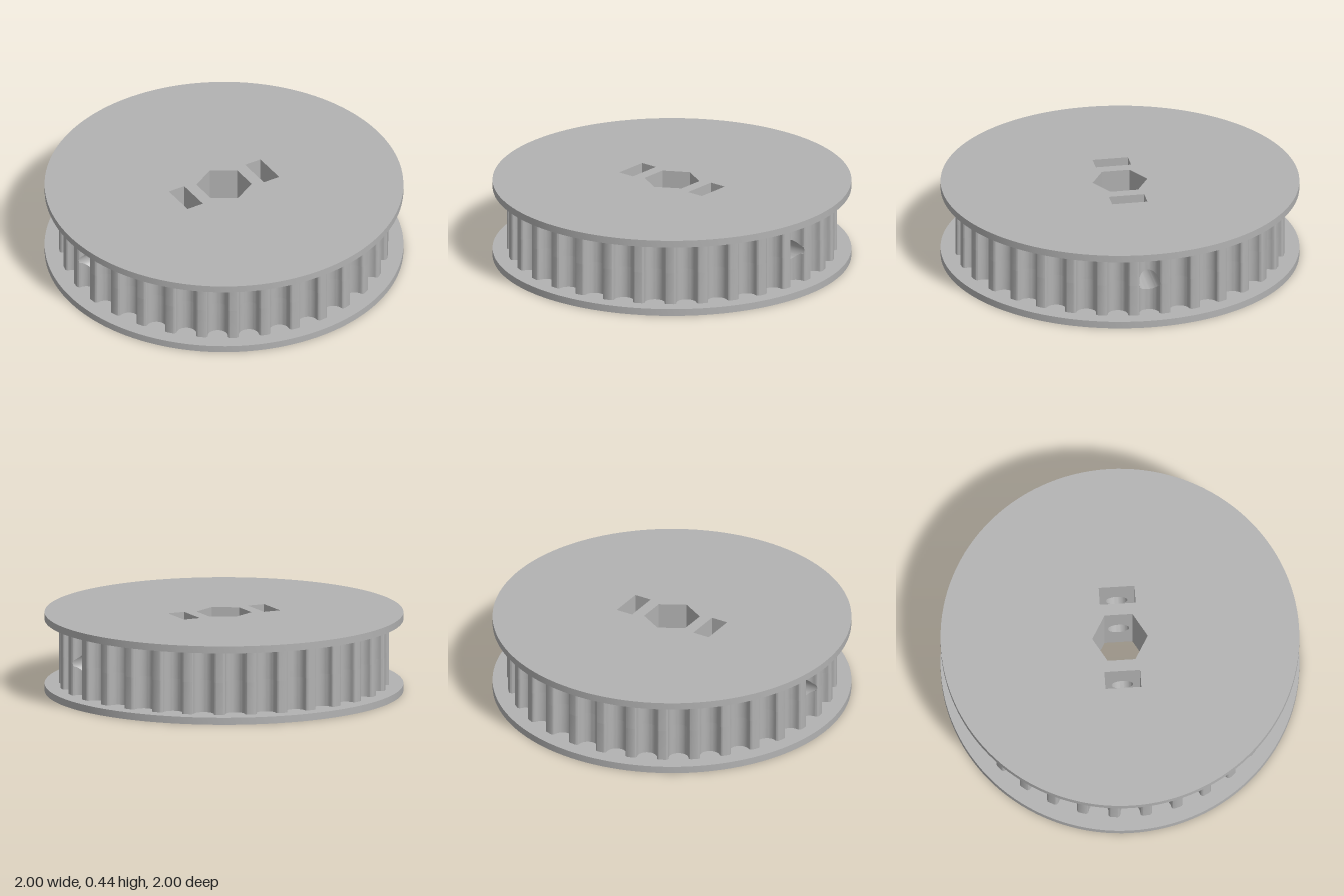
import * as THREE from 'three';
import { mergeGeometries, toCreasedNormals } from 'three/addons/utils/BufferGeometryUtils.js';

const HEIGHT = 0.445, FLANGE = 0.04, TOP = HEIGHT - FLANGE, MID = HEIGHT / 2;
const TEETH = 32, OUTER = 0.92;
const GROOVE_R = 0.056, GROOVE_X = 0.899, FILLET_R = 0.016, FILLET_X = 0.901, FILLET_T = 0.072;
const HOLE_R = 0.06, HEX_R = 0.155, HEX_FLAT = HEX_R * Math.cos(Math.PI / 6);
const SLOT = { x0: 0.2, x1: 0.3, z: 0.1, shoulder: 0.167, bottom: 0.11 };

const V = (x, y, z) => new THREE.Vector3(x, y, z);

// Ribbon of quads between two matching polylines
function ribbon(a, b, crease = 0.6) {
  const pos = [];
  const tri = (...ps) => ps.forEach((p) => pos.push(p.x, p.y, p.z));
  for (let i = 0; i < a.length - 1; i++) {
    tri(a[i], a[i + 1], b[i + 1]);
    tri(a[i], b[i + 1], b[i]);
  }
  const g = new THREE.BufferGeometry();
  g.setAttribute('position', new THREE.Float32BufferAttribute(pos, 3));
  return toCreasedNormals(g, crease);
}

// Rounded groove section in local (radial, tangential) coordinates
function grooveProfile() {
  const half = [];
  for (let i = 0; i <= 10; i++) {
    const t = (i / 10) * Math.PI / 2;
    half.push([GROOVE_X - GROOVE_R * Math.cos(t), GROOVE_R * Math.sin(t)]);
  }
  for (let i = 0; i <= 6; i++) {
    const t = (i / 6) * Math.PI / 2;
    half.push([FILLET_X + FILLET_R * Math.sin(t), FILLET_T - FILLET_R * Math.cos(t)]);
  }
  return [...half.slice(1).reverse().map(([r, t]) => [r, -t]), ...half];
}

// Radial position of the groove surface at sideways offset z
function grooveDepth(z) {
  const t = Math.abs(z);
  if (t < GROOVE_R) return GROOVE_X - Math.sqrt(GROOVE_R ** 2 - t * t);
  return FILLET_X + Math.sqrt(Math.max(0, FILLET_R ** 2 - (FILLET_T - t) ** 2));
}

// Toothed rim; the two grooves on the x axis are split around the screw hole
function toothedRim() {
  const profile = grooveProfile(), points = [];
  for (let k = 0; k <= TEETH; k++) {
    const a = (k / TEETH) * Math.PI * 2, c = Math.cos(a), s = Math.sin(a);
    const drilled = k % (TEETH / 2) === 0;
    for (const [r, t] of profile) {
      const gap = drilled ? Math.sqrt(Math.max(0, HOLE_R ** 2 - t * t)) : 0;
      points.push({ x: r * c - t * s, z: -(r * s + t * c), gap });
    }
  }
  const row = (y) => points.map((p) => V(p.x, y(p), p.z));
  return mergeGeometries([
    ribbon(row(() => FLANGE), row((p) => MID - p.gap)),
    ribbon(row((p) => MID + p.gap), row(() => TOP)),
  ]);
}

function hexPoints() {
  return Array.from({ length: 6 }, (_, i) => {
    const a = Math.PI / 2 + i * Math.PI / 3;
    return new THREE.Vector2(HEX_R * Math.cos(a), HEX_R * Math.sin(a));
  });
}

// Round flange plate with the hex bore and optional nut slots
function flange(withSlots) {
  const shape = new THREE.Shape().absarc(0, 0, 1, 0, Math.PI * 2);
  shape.holes.push(new THREE.Path(hexPoints()));
  if (withSlots) {
    for (const s of [-1, 1]) {
      shape.holes.push(new THREE.Path([
        [SLOT.x0, -SLOT.z], [SLOT.x1, -SLOT.z], [SLOT.x1, SLOT.z], [SLOT.x0, SLOT.z],
      ].map(([x, z]) => new THREE.Vector2(s * x, z))));
    }
  }
  const g = new THREE.ExtrudeGeometry(shape, { depth: FLANGE, bevelEnabled: false, curveSegments: 64 });
  return toCreasedNormals(g.rotateX(-Math.PI / 2), 0.5);
}

// Flat wall facing x, pierced by the screw hole
function drilledWall(outline, x) {
  const shape = new THREE.Shape(outline.map(([z, y]) => new THREE.Vector2(z, y)));
  shape.holes.push(new THREE.Path().absarc(0, MID, HOLE_R, 0, Math.PI * 2, true));
  return new THREE.ShapeGeometry(shape, 24).rotateY(Math.PI / 2).translate(x, 0, 0).toNonIndexed();
}

// Walls of the hex bore between the flanges
function hexBore() {
  const pts = hexPoints(), w = HEX_R / 2, parts = [];
  for (const i of [0, 2, 3, 5]) {
    const edge = [pts[(i + 1) % 6], pts[i]];
    parts.push(ribbon(edge.map((p) => V(p.x, FLANGE, -p.y)), edge.map((p) => V(p.x, TOP, -p.y))));
  }
  for (const s of [-1, 1]) {
    const wall = drilledWall([[-w, FLANGE], [w, FLANGE], [w, TOP], [-w, TOP]], s * HEX_FLAT);
    wall.deleteAttribute('uv');
    parts.push(wall);
  }
  return mergeGeometries(parts);
}

// Nut pocket with a V-shaped floor
function nutSlot() {
  const { x0, x1, z, shoulder, bottom } = SLOT;
  const outline = [[-z, TOP], [-z, shoulder], [0, bottom], [z, shoulder], [z, TOP]];
  const row = (x) => outline.map(([pz, py]) => V(x, py, pz));
  const walls = [x0, x1].map((x) => drilledWall(outline, x));
  walls.forEach((wall) => wall.deleteAttribute('uv'));
  return mergeGeometries([ribbon(row(x0), row(x1), 0.3), ...walls]);
}

// Screw hole bore, running from the hex to the slot and from the slot to the rim
function screwHole() {
  const ring = (xOf) => Array.from({ length: 49 }, (_, i) => {
    const a = (i / 48) * Math.PI * 2, z = HOLE_R * Math.cos(a);
    return V(xOf(z), MID + HOLE_R * Math.sin(a), z);
  });
  return mergeGeometries([
    ribbon(ring(() => HEX_FLAT), ring(() => SLOT.x0)),
    ribbon(ring(() => SLOT.x1), ring(grooveDepth)),
  ]);
}

export function createModel() {
  const metal = new THREE.MeshStandardMaterial({ color: 0xb2b2b2, side: THREE.DoubleSide });
  metal.name = 'grey metal';
  const model = new THREE.Group();
  model.name = 'timingPulley';
  const add = (name, geometry) => {
    const mesh = new THREE.Mesh(geometry, metal);
    mesh.name = name;
    model.add(mesh);
    return mesh;
  };

  add('bottomFlange', flange(false));
  add('topFlange', flange(true)).position.y = TOP;
  add('toothedRim', toothedRim());
  add('hexBore', hexBore());

  // Nut slots and screw holes on both sides
  for (const [side, turn] of [['left', 0], ['right', Math.PI]]) {
    add(side + 'NutSlot', nutSlot()).rotation.y = turn;
    add(side + 'ScrewHole', screwHole()).rotation.y = turn;
  }
  return model;
}
